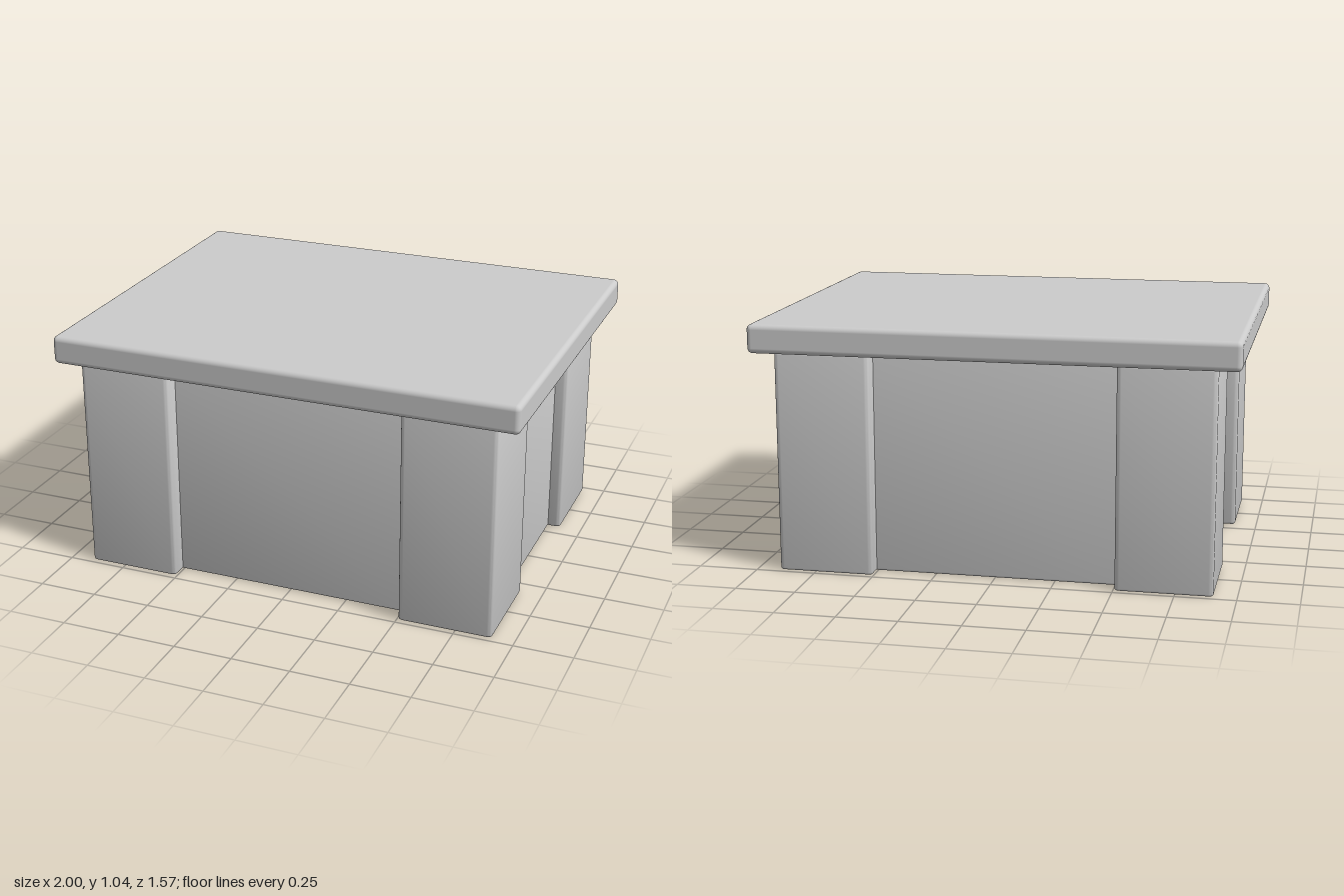
import * as THREE from 'three';
import { toCreasedNormals } from 'three/addons/utils/BufferGeometryUtils.js';
import { RoundedBoxGeometry } from 'three/addons/geometries/RoundedBoxGeometry.js';

const HALF_X = 0.905, HALF_Z = 0.73;        // outer faces of the corner posts
const PANEL_X = 0.505, PANEL_Z = 0.31;      // half widths of the recessed panels
const RECESS_X = 0.055, RECESS_Z = 0.07;    // panel depths
const BODY_H = 0.925, LID_H = 0.12;

// Closed plan of the body: four corner posts joined by recessed panels
function bodyOutline(radius) {
  const quarter = [
    [HALF_X - RECESS_X, PANEL_Z, false], // third value: rounded corner
    [HALF_X, PANEL_Z, true],
    [HALF_X, HALF_Z, true],
    [PANEL_X, HALF_Z, true],
    [PANEL_X, HALF_Z - RECESS_Z, false],
  ];
  const corners = [];
  for (const [sx, sz] of [[1, 1], [-1, 1], [-1, -1], [1, -1]]) {
    const pts = quarter.map(([x, z, round]) => ({ p: new THREE.Vector2(x * sx, z * sz), round }));
    corners.push(...(sx * sz > 0 ? pts : pts.reverse()));
  }
  const shape = new THREE.Shape();
  const n = corners.length;
  const toward = (a, b) => b.clone().sub(a).setLength(radius).add(a);
  corners.forEach(({ p, round }, i) => {
    const a = round ? toward(p, corners[(i + n - 1) % n].p) : p;
    if (i === 0) shape.moveTo(a.x, a.y);
    else shape.lineTo(a.x, a.y);
    if (round) {
      const b = toward(p, corners[(i + 1) % n].p);
      shape.quadraticCurveTo(p.x, p.y, b.x, b.y);
    }
  });
  shape.closePath();
  return shape;
}

export function createModel() {
  const group = new THREE.Group();
  group.name = 'liddedBox';
  const material = new THREE.MeshStandardMaterial({ color: 0xcccccc });

  // Body with softened edges
  const bevel = 0.01;
  const bodyGeometry = new THREE.ExtrudeGeometry(bodyOutline(0.02), {
    depth: BODY_H - 2 * bevel,
    bevelEnabled: true,
    bevelThickness: bevel,
    bevelSize: bevel,
    bevelOffset: -bevel,
    bevelSegments: 3,
    curveSegments: 5,
  });
  bodyGeometry.rotateX(-Math.PI / 2).translate(0, bevel, 0);
  const body = new THREE.Mesh(toCreasedNormals(bodyGeometry, 0.7), material);
  body.name = 'body';
  group.add(body);

  // Overhanging slab lid
  const lid = new THREE.Mesh(new RoundedBoxGeometry(2, LID_H, 1.57, 4, 0.022), material);
  lid.name = 'lid';
  lid.position.y = BODY_H + LID_H / 2;
  group.add(lid);

  return group;
}
